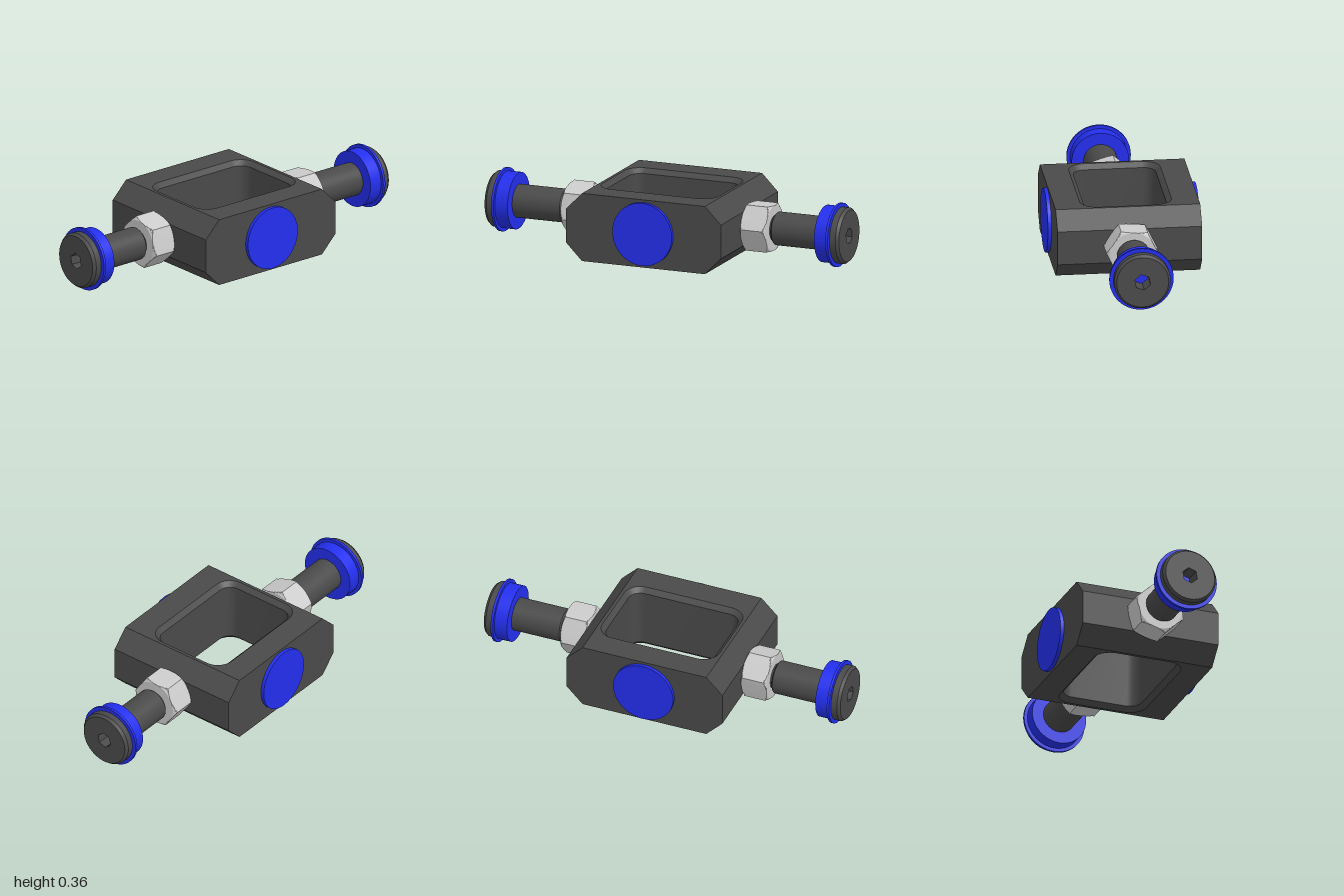
import * as THREE from 'three';
import { toCreasedNormals } from 'three/addons/utils/BufferGeometryUtils.js';

const CY = 0.1815; // height of the bolt axis
const dark = new THREE.MeshStandardMaterial({ color: 0x4a4a4a });
const blue = new THREE.MeshStandardMaterial({ color: 0x232fee });
const grey = new THREE.MeshStandardMaterial({ color: 0xcccccc });

function mesh(name, geometry, material) {
  const m = new THREE.Mesh(geometry, material);
  m.name = name;
  return m;
}

// Solid of revolution about the x axis from [x, radius] pairs
function turned(profile, rule) {
  const g = new THREE.LatheGeometry(profile.map(([x, r]) => new THREE.Vector2(r, x)), 48);
  if (rule) rule(g.attributes.position);
  g.rotateZ(-Math.PI / 2);
  return toCreasedNormals(g, 0.42);
}

// Rectangle with rounded corners at height y, the same point count for any radius
function ring(hx, hz, r, y) {
  const points = [], steps = 8;
  for (let c = 0; c < 4; c++) {
    const sx = c === 0 || c === 3 ? 1 : -1, sz = c < 2 ? 1 : -1;
    for (let i = 0; i <= steps; i++) {
      const a = (c + i / steps) * Math.PI / 2;
      points.push(new THREE.Vector3(sx * (hx - r) + r * Math.cos(a), y, sz * (hz - r) + r * Math.sin(a)));
    }
  }
  return points;
}

// Frame: closed loop of rings, up the outside and down the inside
function frameGeometry() {
  const rings = [
    ring(0.347, 0.378, 0, 0), ring(0.437, 0.378, 0, 0.091),
    ring(0.437, 0.378, 0, 0.272), ring(0.347, 0.378, 0, 0.363),
    ring(0.33, 0.24, 0.09, 0.363), ring(0.305, 0.215, 0.065, 0.338),
    ring(0.305, 0.215, 0.065, 0.025), ring(0.33, 0.24, 0.09, 0),
  ];
  const pos = [];
  const tri = (a, b, c) => {
    const area = b.clone().sub(a).cross(c.clone().sub(a)).length();
    if (area > 1e-9) for (const p of [a, b, c]) pos.push(p.x, p.y, p.z);
  };
  rings.forEach((low, k) => {
    const high = rings[(k + 1) % rings.length];
    low.forEach((p, j) => {
      const n = (j + 1) % low.length;
      tri(p, high[j], low[n]);
      tri(low[n], high[j], high[n]);
    });
  });
  const g = new THREE.BufferGeometry();
  g.setAttribute('position', new THREE.Float32BufferAttribute(pos, 3));
  return toCreasedNormals(g, 0.42);
}

// Hex nut: a chamfered disc trimmed to a hexagon
function nutGeometry(spin) {
  const start = 0.436, end = 0.578, profile = [[start, 0]];
  for (let i = 0; i <= 4; i++) profile.push([start + i * 0.003, 0.12 + i * 0.005]);
  for (let i = 4; i >= 0; i--) profile.push([end - i * 0.003, 0.12 + i * 0.005]);
  profile.push([end, 0]);
  return turned(profile, (p) => {
    for (let i = 0; i < p.count; i++) {
      const x = p.getX(i), z = p.getZ(i), r = Math.hypot(x, z);
      if (r < 1e-6) continue;
      const sector = Math.PI / 3;
      const a = ((Math.atan2(x, z) + 2 * Math.PI + 1e-6) % sector) - sector / 2;
      const k = Math.min(1, 0.1205 / Math.cos(a) / r);
      p.setXYZ(i, x * k, p.getY(i), z * k);
    }
  }).rotateX(spin);
}

// Flat head face with a hexagonal socket
function socketFaceGeometry() {
  const shape = new THREE.Shape().absarc(0, 0, 0.136, 0, Math.PI * 2);
  const hex = [];
  for (let i = 0; i < 6; i++) {
    const a = Math.PI * (0.56 + i / 3);
    hex.push(new THREE.Vector2(0.043 * Math.cos(a), 0.043 * Math.sin(a)));
  }
  shape.holes.push(new THREE.Path(hex));
  const g = new THREE.ExtrudeGeometry(shape, { depth: 0.1, bevelEnabled: false, curveSegments: 24 });
  return g.rotateY(Math.PI / 2).translate(0.9, 0, 0);
}

function bolt(name, nutSpin) {
  const group = new THREE.Group();
  group.name = name;
  group.position.y = CY;
  group.add(
    mesh('nut', nutGeometry(nutSpin), grey),
    mesh('shaft', turned([[0.57, 0], [0.57, 0.066], [0.592, 0.066], [0.592, 0.082], [0.598, 0.088], [0.87, 0.088]]), dark),
    mesh('bushing', turned([[0.865, 0], [0.865, 0.15], [0.936, 0.15], [0.936, 0.168], [0.95, 0.168], [0.95, 0.14]]), blue),
    mesh('head', turned([[0.949, 0.14], [0.952, 0.148], [0.985, 0.148], [1, 0.136]]), dark),
    mesh('headFace', socketFaceGeometry(), dark),
    mesh('socketBottom', new THREE.CircleGeometry(0.06, 24).rotateY(Math.PI / 2).translate(0.902, 0, 0), blue),
  );
  return group;
}

export function createModel() {
  const model = new THREE.Group();
  model.name = 'boltedFrame';
  model.add(mesh('frame', frameGeometry(), dark));

  // Round pads on the front and back faces
  for (const [name, side] of [['frontPad', 1], ['backPad', -1]]) {
    const pad = mesh(name, new THREE.CylinderGeometry(0.168, 0.168, 0.037, 64).rotateX(Math.PI / 2), blue);
    pad.position.set(0, CY, side * 0.3785);
    model.add(pad);
  }

  const left = bolt('leftBolt', THREE.MathUtils.degToRad(-4));
  const right = bolt('rightBolt', THREE.MathUtils.degToRad(-17));
  right.rotation.y = Math.PI;
  model.add(left, right);
  return model;
}
